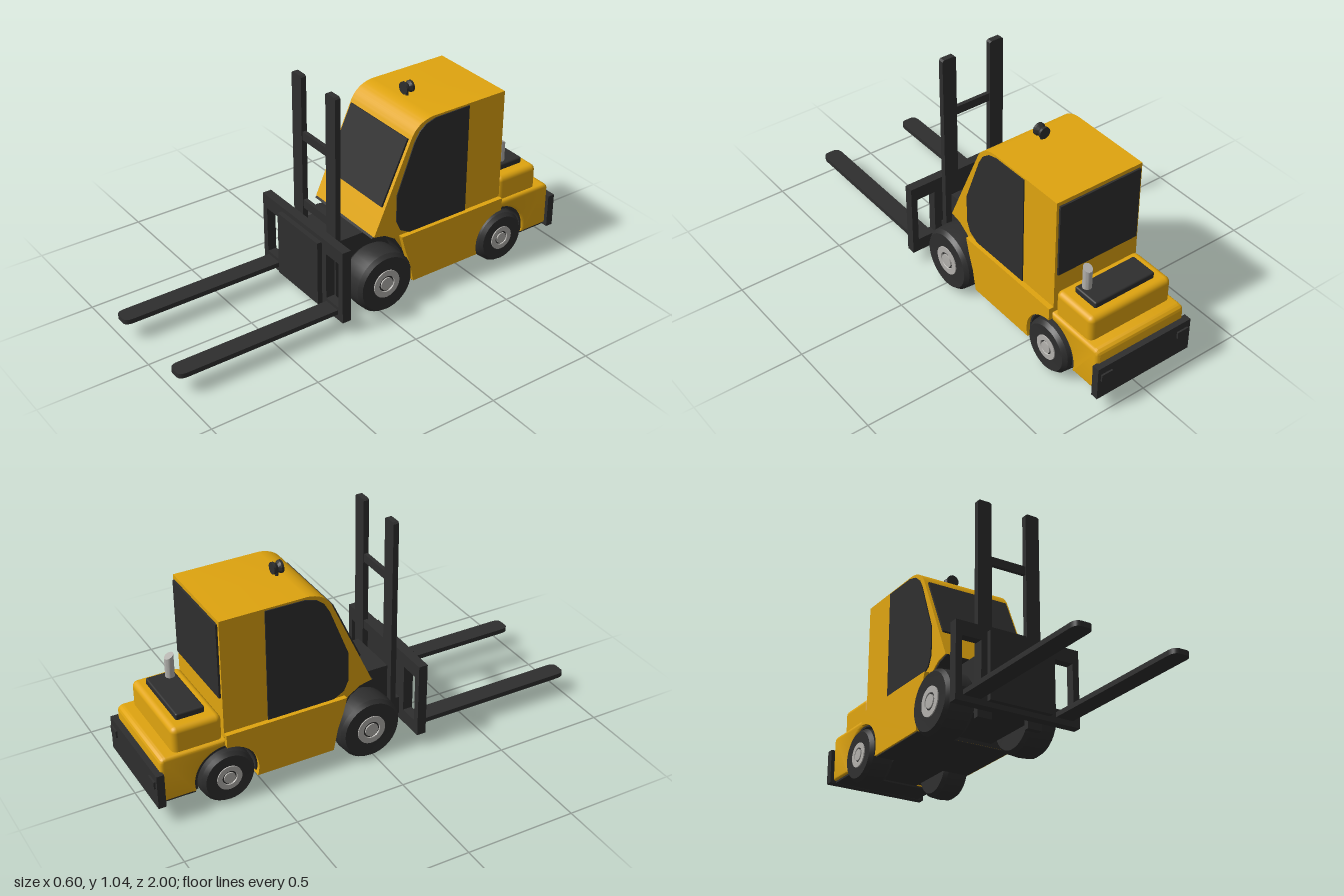
import * as THREE from 'three';
import { toCreasedNormals } from 'three/addons/utils/BufferGeometryUtils.js';
import { RoundedBoxGeometry } from 'three/addons/geometries/RoundedBoxGeometry.js';

export function createModel() {
  const model = new THREE.Group();
  model.name = 'forklift';
  const paint = (name, color) => {
    const m = new THREE.MeshStandardMaterial({ color });
    m.name = name;
    return m;
  };
  const yellow = paint('yellow paint', 0xdfa40f);
  const dark = paint('dark grey', 0x2e2e2e);
  const grey = paint('light grey', 0xb2b0ac);

  const add = (name, geometry, material, parent = model) => {
    const mesh = new THREE.Mesh(geometry, material);
    mesh.name = name;
    parent.add(mesh);
    return mesh;
  };
  // Box from its low and high corners
  const box = (name, [x0, x1], [y0, y1], [z0, z1], material, radius = 0) => {
    const size = [x1 - x0, y1 - y0, z1 - z0];
    const g = radius ? new RoundedBoxGeometry(...size, 3, radius) : new THREE.BoxGeometry(...size);
    g.translate((x0 + x1) / 2, (y0 + y1) / 2, (z0 + z1) / 2);
    return add(name, g, material);
  };
  // Side profile in (z, y), extruded across x
  const across = (name, shape, width, material, x = 0, bevel = 0) => {
    const g = new THREE.ExtrudeGeometry(shape, {
      depth: width - 2 * bevel, bevelEnabled: bevel > 0, bevelSize: bevel,
      bevelThickness: bevel, bevelOffset: -bevel, bevelSegments: 3, curveSegments: 16,
    });
    g.translate(0, 0, -(width - 2 * bevel) / 2).rotateY(-Math.PI / 2).translate(x, 0, 0);
    return add(name, toCreasedNormals(g, 0.6), material);
  };
  const polygon = (points) => new THREE.Shape(points.map(([a, b]) => new THREE.Vector2(a, b)));

  // Front wheel arch edge, shared by cab and liner
  const arch = [[0.012, 0.362], [-0.045, 0.35], [-0.1, 0.315], [-0.14, 0.25], [-0.165, 0.18], [-0.185, 0.08]];

  // Cab with sloping front and curved roof edge
  const cab = new THREE.Shape();
  cab.moveTo(...arch[5]);
  cab.lineTo(-0.5, 0.08);
  cab.lineTo(-0.5, 0.3);
  cab.lineTo(-0.678, 0.3);
  cab.lineTo(-0.678, 0.85);
  cab.lineTo(-0.29, 0.85);
  cab.quadraticCurveTo(-0.215, 0.845, -0.18, 0.785);
  for (const p of arch.slice(0, 5)) cab.lineTo(...p);
  across('cab', cab, 0.43, yellow);
  across('frontArchLiner', polygon([...arch, ...arch.map(([z, y]) => [z + 0.01, y - 0.005]).reverse()]), 0.42, dark);

  // Wider lower body with half of the rear arch
  const R = 0.14, RZ = -0.677, RY = 0.125;
  const dip = Math.asin((RY - 0.08) / R);
  const lower = new THREE.Shape();
  lower.moveTo(-0.12, 0.325);
  lower.lineTo(-0.14, 0.25);
  lower.lineTo(-0.165, 0.18);
  lower.lineTo(-0.185, 0.08);
  lower.lineTo(RZ + R * Math.cos(dip), 0.08);
  lower.absarc(RZ, RY, R, -dip, Math.PI / 2, false);
  lower.lineTo(-0.678, 0.325);
  across('lowerBody', lower, 0.476, yellow);

  // Counterweight and engine hood
  const weight = new THREE.Shape();
  weight.moveTo(RZ, 0.3);
  weight.lineTo(RZ, RY + R);
  weight.absarc(RZ, RY, R, Math.PI / 2, Math.PI + 0.25, false);
  weight.lineTo(-0.965, 0.09);
  weight.lineTo(-0.965, 0.27);
  weight.quadraticCurveTo(-0.965, 0.3, -0.935, 0.3);
  across('counterweight', weight, 0.455, yellow, 0, 0.015);
  box('engineHood', [-0.21, 0.21], [0.27, 0.412], [-0.9, -0.68], yellow, 0.025);
  box('hoodGrille', [-0.154, 0.154], [0.408, 0.44], [-0.857, -0.73], dark, 0.008);
  box('rearBumper', [-0.243, 0.243], [0.08, 0.238], [-0.992, -0.958], dark);
  for (const s of [-1, 1]) {
    const x = s * 0.2;
    box('rearLamp', [x - 0.028, x + 0.028], [0.172, 0.205], [-1, -0.99], dark);
  }

  // Rear arch liner
  const liner = new THREE.Shape();
  liner.absarc(RZ, RY, 0.142, -0.2, Math.PI + 0.2, false);
  liner.absarc(RZ, RY, 0.132, Math.PI + 0.2, -0.2, true);
  across('rearArchLiner', liner, 0.44, dark);

  // Dark chassis between and below the wheels
  box('frontChassis', [-0.125, 0.125], [0.09, 0.34], [-0.22, 0.142], dark);
  box('rearChassis', [-0.125, 0.125], [0.09, 0.28], [-0.85, -0.5], dark);
  box('bellyPan', [-0.23, 0.23], [0.076, 0.085], [-0.54, -0.187], dark);
  box('rearPan', [-0.215, 0.215], [0.082, 0.095], [-0.96, -0.815], dark);

  // Windows
  across('windshield', polygon([[-0.042, 0.485], [-0.034, 0.489], [-0.165, 0.774], [-0.173, 0.77]]), 0.4, dark);
  const sideWindow = polygon([[-0.103, 0.4], [-0.103, 0.53], [-0.19, 0.755], [-0.215, 0.798], [-0.25, 0.826],
    [-0.3, 0.84], [-0.48, 0.842], [-0.48, 0.326], [-0.172, 0.326], [-0.125, 0.352]]);
  for (const s of [-1, 1]) across('sideWindow', sideWindow, 0.006, dark, s * 0.217);
  box('rearWindow', [-0.203, 0.203], [0.49, 0.832], [-0.687, -0.677], dark);

  // Roof beacon, a waisted lamp facing forward
  const lathe = (points, segments = 32) =>
    toCreasedNormals(new THREE.LatheGeometry(points.map(([r, h]) => new THREE.Vector2(r, h)), segments), 0.5);
  const beacon = lathe([[0, -0.022], [0.026, -0.022], [0.026, -0.012], [0.018, 0], [0.028, 0.012], [0.028, 0.022], [0, 0.022]]);
  add('beacon', beacon.rotateX(Math.PI / 2), dark).position.set(0, 0.888, -0.315);
  add('beaconStem', new THREE.CylinderGeometry(0.007, 0.007, 0.03, 12), dark).position.set(0, 0.86, -0.315);

  // Exhaust pipe with a slanted top
  const pipe = new THREE.CylinderGeometry(0.02, 0.02, 0.1, 20);
  const pos = pipe.attributes.position;
  for (let i = 0; i < pos.count; i++) if (pos.getY(i) > 0) pos.setY(i, 0.05 + pos.getZ(i) * 0.5);
  pipe.computeVertexNormals();
  add('exhaustPipe', toCreasedNormals(pipe, 0.6), grey).position.set(0.117, 0.488, -0.761);

  // Wheels: bevelled tyre, rim ring and hub cap
  const wheel = (name, side, r, inner, outer, z, rim) => {
    const w = new THREE.Group();
    w.name = name;
    const h = (outer - inner) / 2, b = 0.018;
    const part = (label, points, material) => add(label, lathe(points).rotateZ(-Math.PI / 2), material, w);
    part('tyre', [[0, -h], [r - b, -h], [r - 0.004, -h + b], [r, 0], [r - 0.004, h - b], [r - b, h], [rim, h - 0.004], [0, h - 0.004]], dark);
    part('rim', [[rim * 0.55, h - 0.006], [rim, h - 0.006], [rim, h + 0.001], [rim * 0.6, h + 0.001], [rim * 0.55, h - 0.006]], grey);
    part('hubCap', [[rim * 0.46, h - 0.006], [rim * 0.46, h + 0.002], [0, h + 0.003]], grey);
    w.position.set(side * (inner + h), r, z);
    if (side < 0) w.rotation.y = Math.PI;
    model.add(w);
  };
  for (const s of [-1, 1]) {
    wheel('frontWheel', s, 0.146, 0.13, 0.27, -0.018, 0.066);
    wheel('rearWheel', s, 0.124, 0.13, 0.25, RZ, 0.056);
  }

  // Mast: uprights with chamfered tops, and crossbars
  for (const s of [-1, 1]) {
    const upright = polygon([[-0.034, 0.042], [0.034, 0.042], [0.034, 1.034], [0.026, 1.041], [-0.026, 1.041], [-0.034, 1.034]]);
    const g = new THREE.ExtrudeGeometry(upright, { depth: 0.026, bevelEnabled: false });
    add('mastUpright', g, dark).position.set(s * 0.121, 0, 0.142);
    const x = s * 0.125;
    box('carriageBracket', [x - 0.02, x + 0.02], [0.085, 0.172], [0.16, 0.198], dark);
  }
  for (const [y0, y1] of [[0.415, 0.455], [0.745, 0.784]])
    box('mastCrossbar', [-0.09, 0.09], [y0, y1], [0.146, 0.164], dark);

  // Carriage frame with two openings, and its front panel
  const frame = polygon([[-0.3, 0.062], [0.3, 0.062], [0.3, 0.411], [-0.3, 0.411]]);
  for (const s of [-1, 1])
    frame.holes.push(polygon([[s * 0.18, 0.125], [s * 0.18, 0.346], [s * 0.27, 0.346], [s * 0.27, 0.125]]));
  add('carriageFrame', new THREE.ExtrudeGeometry(frame, { depth: 0.042, bevelEnabled: false }), dark).position.z = 0.193;
  box('carriagePanel', [-0.15, 0.15], [0.085, 0.39], [0.23, 0.258], dark);

  // Forks with rounded tips
  const fork = new THREE.Shape();
  fork.moveTo(-0.042, 0.23);
  fork.lineTo(0.042, 0.23);
  fork.lineTo(0.042, 0.965);
  fork.quadraticCurveTo(0.04, 1, 0.015, 1);
  fork.lineTo(-0.015, 1);
  fork.quadraticCurveTo(-0.04, 1, -0.042, 0.965);
  for (const s of [-1, 1]) {
    const g = new THREE.ExtrudeGeometry(fork, { depth: 0.022, bevelEnabled: false });
    add('fork', g.rotateX(Math.PI / 2), dark).position.set(s * 0.223, 0.11, 0);
  }
  return model;
}
